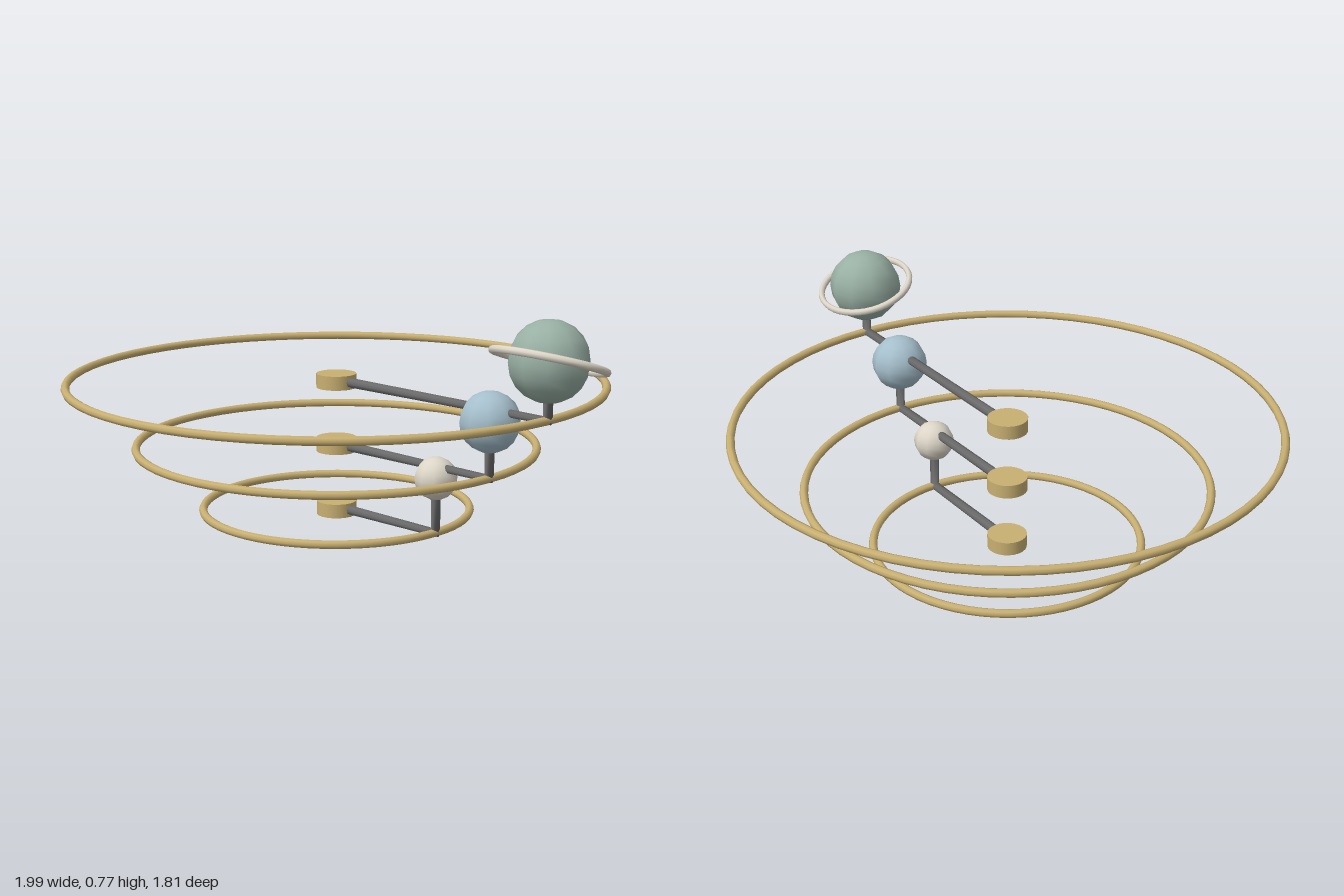
import * as THREE from 'three';

const mat = (color) => new THREE.MeshStandardMaterial({ color });
const BRASS = mat(0xc9b072), STEEL = mat(0x6c6c6c), CREAM = mat(0xddd6c8);
const BLUE = mat(0xa5bfcc), GREEN = mat(0x99b0a4);

const AXIS_X = -0.09;

// Rod path with one sharp mitred corner: along +x, then straight up.
class ElbowCurve extends THREE.Curve {
  constructor(length, rise) {
    super();
    this.points = [[0, 0], [length, 0], [length, rise]].map(([x, y]) => new THREE.Vector3(x, y, 0));
  }
  getPoint(t, target = new THREE.Vector3()) {
    const [a, b, c] = this.points;
    return t < 0.5 ? target.lerpVectors(a, b, t * 2) : target.lerpVectors(b, c, t * 2 - 1);
  }
  getPointAt(t, target) {
    return this.getPoint(t, target);
  }
  getTangentAt(t, target = new THREE.Vector3()) {
    return target.set(t <= 0.5 ? 1 : 0, t >= 0.5 ? 1 : 0, 0).normalize();
  }
}

function add(parent, name, geometry, material, x = 0, y = 0) {
  const mesh = new THREE.Mesh(geometry, material);
  mesh.name = name;
  mesh.position.set(x, y, 0);
  parent.add(mesh);
  return mesh;
}

// One level: hub, orbit ring, bent arm and the planet it carries.
function tier({ name, y, orbit, radius, rise, material }) {
  const group = new THREE.Group();
  group.name = name;
  group.position.set(AXIS_X, y, 0);
  add(group, 'hub', new THREE.CylinderGeometry(0.067, 0.067, 0.047, 24), BRASS);
  add(group, 'orbitRing', new THREE.TorusGeometry(orbit, 0.014, 8, 64).rotateX(Math.PI / 2), BRASS);
  add(group, 'arm', new THREE.TubeGeometry(new ElbowCurve(orbit, rise), 2, 0.017, 8), STEEL);
  add(group, 'planet', new THREE.SphereGeometry(radius, 10, 10).rotateY(Math.PI / 2), material, orbit, rise);
  return group;
}

export function createModel() {
  const model = new THREE.Group();
  model.name = 'orrery';
  const tiers = [
    { name: 'lowerTier', y: 0.0235, orbit: 0.45, radius: 0.07, rise: 0.18, material: CREAM },
    { name: 'middleTier', y: 0.242, orbit: 0.67, radius: 0.097, rise: 0.18, material: BLUE },
    { name: 'upperTier', y: 0.46, orbit: 0.893, radius: 0.126, rise: 0.18, material: GREEN },
  ].map(tier);
  model.add(...tiers);

  // Tilted, slightly oval ring around the top planet
  const ring = add(tiers[2], 'planetRing', new THREE.TorusGeometry(0.182, 0.012, 8, 40), CREAM, 0.893, 0.18);
  ring.scale.y = 0.86;
  ring.rotation.x = -Math.PI / 2 - THREE.MathUtils.degToRad(18);
  return model;
}
